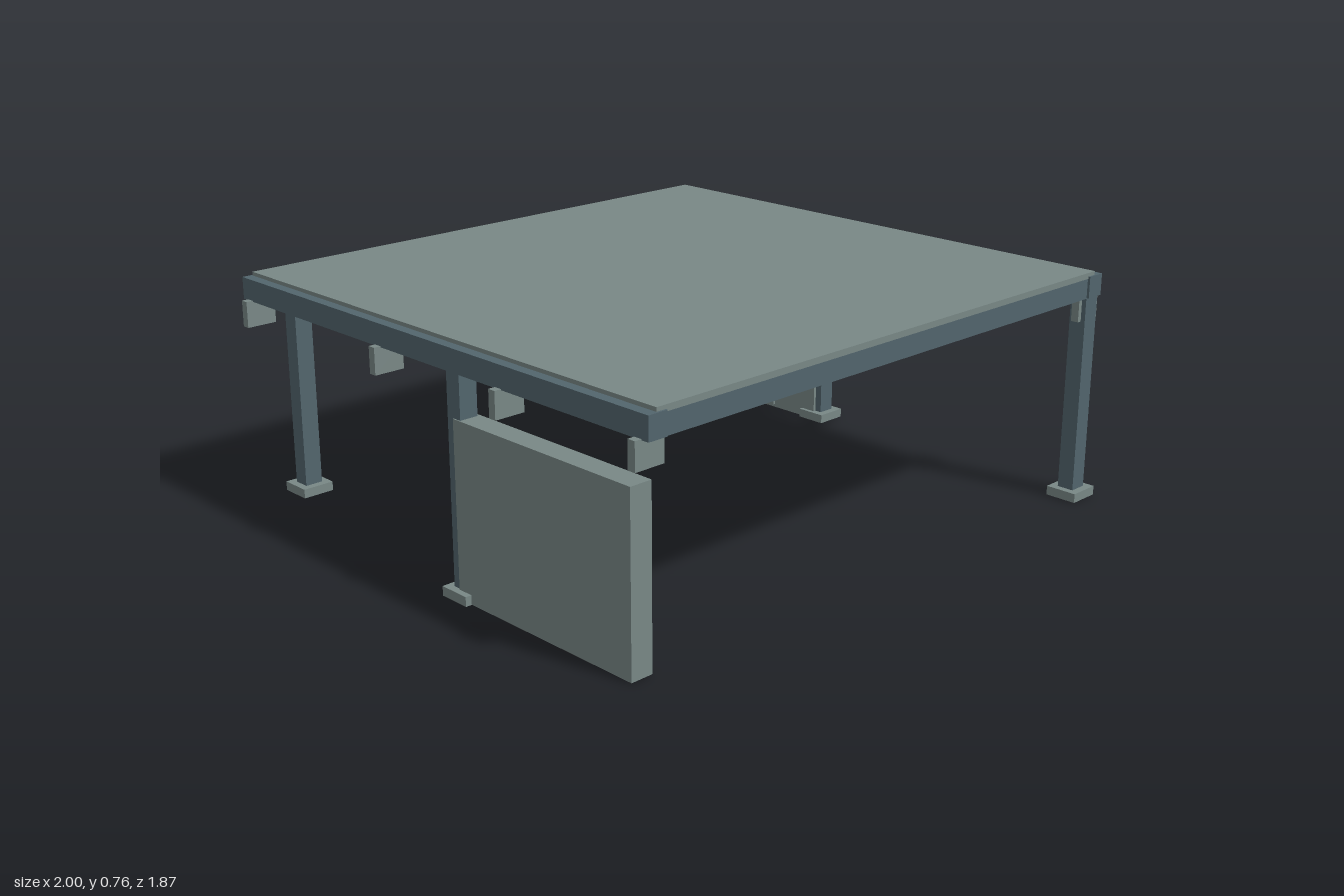
import * as THREE from 'three';

export function createModel() {
  const model = new THREE.Group();
  model.name = 'canopy';
  const mat = (name, color) => {
    const m = new THREE.MeshStandardMaterial({ color });
    m.name = name;
    return m;
  };
  const steel = mat('dark steel', 0x52656d);
  const panel = mat('grey panel', 0x798886);
  const copper = mat('copper', 0xa0683f);

  // Box given by its extents on each axis
  const box = (name, m, [x0, x1], [y0, y1], [z0, z1]) => {
    const mesh = new THREE.Mesh(new THREE.BoxGeometry(x1 - x0, y1 - y0, z1 - z0), m);
    mesh.position.set((x0 + x1) / 2, (y0 + y1) / 2, (z0 + z1) / 2);
    mesh.name = name;
    model.add(mesh);
    return mesh;
  };
  const around = (c, w) => [c - w / 2, c + w / 2];

  // Roof sheet and perimeter frame
  box('roofSheet', panel, [-0.945, 0.945], [0.738, 0.757], [-0.912, 0.912]);
  for (const s of [-1, 1]) {
    box('sideBeam', steel, around(s * 0.945, 0.065), [0.675, 0.745], [-0.918, 0.918]);
    box('endBeam', steel, [-0.913, 0.913], [0.673, 0.743], around(s * 0.88, 0.06));
  }

  // Cross beams between the side beams
  for (const z of [0.338, -0.205]) {
    box('crossBeam', steel, [-0.913, 0.913], [0.673, 0.739], around(z, 0.055));
  }

  // Brackets under the side beams
  for (const z of [0.88, 0.338, -0.205, -0.88]) {
    for (const s of [-1, 1]) {
      box('bracket', panel, around(s * 0.95, 0.1), [0.595, 0.678], around(z, 0.026));
    }
  }

  // Posts on base plates
  for (const [x, z] of [[0.945, 0.88], [0.945, -0.203], [-0.945, 0.137], [-0.81, -0.88]]) {
    box('post', steel, around(x, 0.06), [0.03, 0.676], around(z, 0.056));
    box('basePlate', panel, around(x, 0.108), [0, 0.03], around(z, 0.106));
  }

  // Wall panels with upright ribs on the inner face
  const wall = (side, z0, z1, ribs) => {
    box('wallPanel', panel, around(side * 0.942, 0.074), [0.001, 0.542], [z0, z1]);
    for (const z of ribs) {
      box('wallRib', panel, around(side * 0.902, 0.012), [0.012, 0.53], around(z, 0.018));
    }
  };
  wall(-1, 0.137, 0.852, [0.34, 0.475, 0.61]);
  wall(1, -0.872, -0.2, [-0.4, -0.535, -0.67]);

  // Carrier beams with insulators holding the copper bars
  const bars = [-0.224, 0, 0.224];
  for (const z of [-0.405, -0.742]) {
    box('carrierBeam', steel, [-0.913, 0.913], [0.671, 0.715], around(z, 0.055));
    for (const x of bars) {
      const insulator = new THREE.Mesh(new THREE.CylinderGeometry(0.018, 0.018, 0.06, 12), panel);
      insulator.position.set(x, 0.644, z);
      insulator.name = 'insulator';
      model.add(insulator);
    }
  }
  for (const x of bars) {
    const bar = new THREE.Mesh(new THREE.CylinderGeometry(0.008, 0.008, 0.615, 10), copper);
    bar.rotation.x = Math.PI / 2;
    bar.position.set(x, 0.607, -0.54);
    bar.name = 'copperBar';
    model.add(bar);
  }

  // Shallow tapered ceiling fixtures
  for (const z of [0.338, -0.605]) {
    const s = new THREE.Shape([[-0.024, 0.02], [-0.024, 0.006], [-0.016, -0.004],
      [0.016, -0.004], [0.024, 0.006], [0.024, 0.02]].map(p => new THREE.Vector2(...p)));
    const g = new THREE.ExtrudeGeometry(s, { depth: 0.4, bevelEnabled: false });
    g.translate(0, 0, -0.2);
    const fixture = new THREE.Mesh(g, steel);
    fixture.rotation.y = Math.PI / 2;
    fixture.position.set(0, 0.66, z);
    fixture.name = 'ceilingFixture';
    model.add(fixture);
  }
  // Support for the rear fixture
  box('fixtureBeam', steel, [-0.2, 0.2], [0.678, 0.739], around(-0.605, 0.03));

  return model;
}
